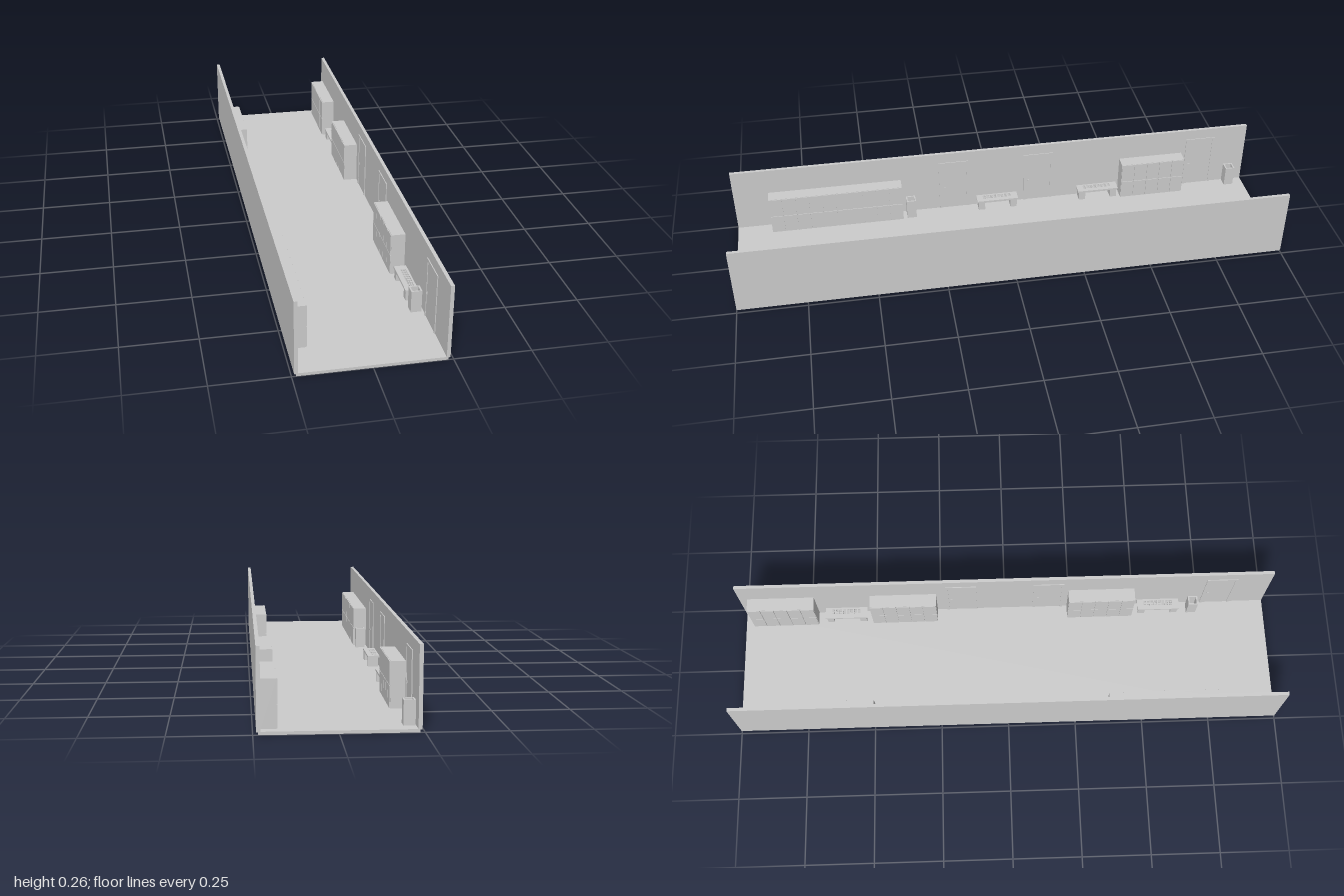
import * as THREE from 'three';

const material = new THREE.MeshStandardMaterial({ color: 0xcccccc, flatShading: true });
const FLOOR = 0.01;

// Box given by its minimum and maximum corners
function box(name, x0, x1, y0, y1, z0, z1) {
  const geometry = new THREE.BoxGeometry(x1 - x0, y1 - y0, z1 - z0);
  geometry.translate((x0 + x1) / 2, (y0 + y1) / 2, (z0 + z1) / 2);
  const mesh = new THREE.Mesh(geometry, material);
  mesh.name = name;
  return mesh;
}

function group(name, ...children) {
  const g = new THREE.Group();
  g.name = name;
  if (children.length) g.add(...children);
  return g;
}

// Horizontal plate with rectangular holes, each [x0, x1, z0, z1]
function plate(name, x0, x1, y0, y1, z0, z1, holes) {
  const outline = (a, b, c, d) => [[a, -c], [a, -d], [b, -d], [b, -c]].map(p => new THREE.Vector2(...p));
  const shape = new THREE.Shape(outline(x0, x1, z0, z1));
  shape.holes = holes.map(h => new THREE.Path(outline(...h).reverse()));
  const geometry = new THREE.ExtrudeGeometry(shape, { depth: y1 - y0, bevelEnabled: false });
  geometry.rotateX(-Math.PI / 2).translate(0, y0, 0);
  const mesh = new THREE.Mesh(geometry, material);
  mesh.name = name;
  return mesh;
}

// Every fitting is built against a wall at x = 0, facing +x, centred on z = 0
function lockers() {
  const g = group('lockers', box('lockerBody', 0, 0.048, FLOOR, 0.16, -0.125, 0.125));
  const columns = 5, width = 0.25 / columns, gap = 0.001;
  for (let i = 0; i < columns; i++) {
    const z = -0.125 + i * width;
    for (const [y0, y1] of [[FLOOR, 0.083], [0.083, 0.16]]) {
      g.add(box('lockerDoor', 0.048, 0.051, y0 + gap, y1 - gap, z + gap, z + width - gap));
    }
  }
  return g;
}

function bench() {
  const holes = [];
  for (let i = 0; i < 8; i++) {
    for (let j = 0; j < 3; j++) {
      const x = 0.007 + j * 0.007, z = -0.055 + i * 0.014;
      holes.push([x, x + 0.005, z + 0.002, z + 0.012]);
    }
  }
  const g = group('bench', plate('benchSeat', 0, 0.043, 0.044, 0.051, -0.08, 0.08, holes));
  for (const s of [-1, 1]) {
    const a = s * 0.075, b = s * 0.05;
    g.add(box('benchLeg', 0.004, 0.041, FLOOR, 0.044, Math.min(a, b), Math.max(a, b)));
  }
  return g;
}

function bin() {
  const r = 0.018, inner = 0.013;
  const g = group('bin',
    box('binBase', -r, r, FLOOR, 0.03, -r, r),
    plate('binWalls', -r, r, 0.03, 0.087, -r, r, [[-inner, inner, -inner, inner]]));
  return g;
}

function door() {
  const w = 0.0575, t = 0.009;
  return group('door',
    box('doorPanel', -0.004, 0.001, FLOOR, 0.22 - t, -w + t, w - t),
    box('doorJamb', -0.004, 0.003, FLOOR, 0.22, -w, -w + t),
    box('doorJamb', -0.004, 0.003, FLOOR, 0.22, w - t, w),
    box('doorHead', -0.004, 0.003, 0.22 - t, 0.22, -w + t, w - t),
    box('doorHandle', 0.001, 0.003, 0.1, 0.106, 0.034, 0.042));
}

// One side of the corridor: its wall and the fittings along it
function side(name, layout) {
  const g = group(name, box('wall', -0.012, 0, 0.008, 0.26, -1, 1));
  const place = (make, spots) => spots.forEach(([z, x = 0]) => {
    const item = make();
    item.position.set(x, 0, z);
    g.add(item);
  });
  place(door, layout.doors);
  place(lockers, layout.lockers);
  place(bench, layout.benches);
  place(bin, layout.bins);
  return g;
}

export function createModel() {
  const model = group('corridor', box('floor', -0.236, 0.234, 0, FLOOR, -1, 1));

  const rightSide = side('rightSide', {
    doors: [[0.165], [-0.165], [-0.815]],
    lockers: [[0.745], [0.495], [-0.615]],
    benches: [[0], [-0.4]],
    bins: [[0.337, 0.028], [-0.94, 0.02]],
  });
  rightSide.position.x = -0.23;

  // Turned half a circle, so z runs the other way
  const leftSide = side('leftSide', {
    doors: [[0.165], [-0.165], [-0.815]],
    lockers: [[0.845], [0.385], [-0.365]],
    benches: [[0.61], [-0.59]],
    bins: [[-0.72, 0.025]],
  });
  leftSide.rotation.y = Math.PI;
  leftSide.position.x = 0.228;

  model.add(rightSide, leftSide);
  return model;
}
